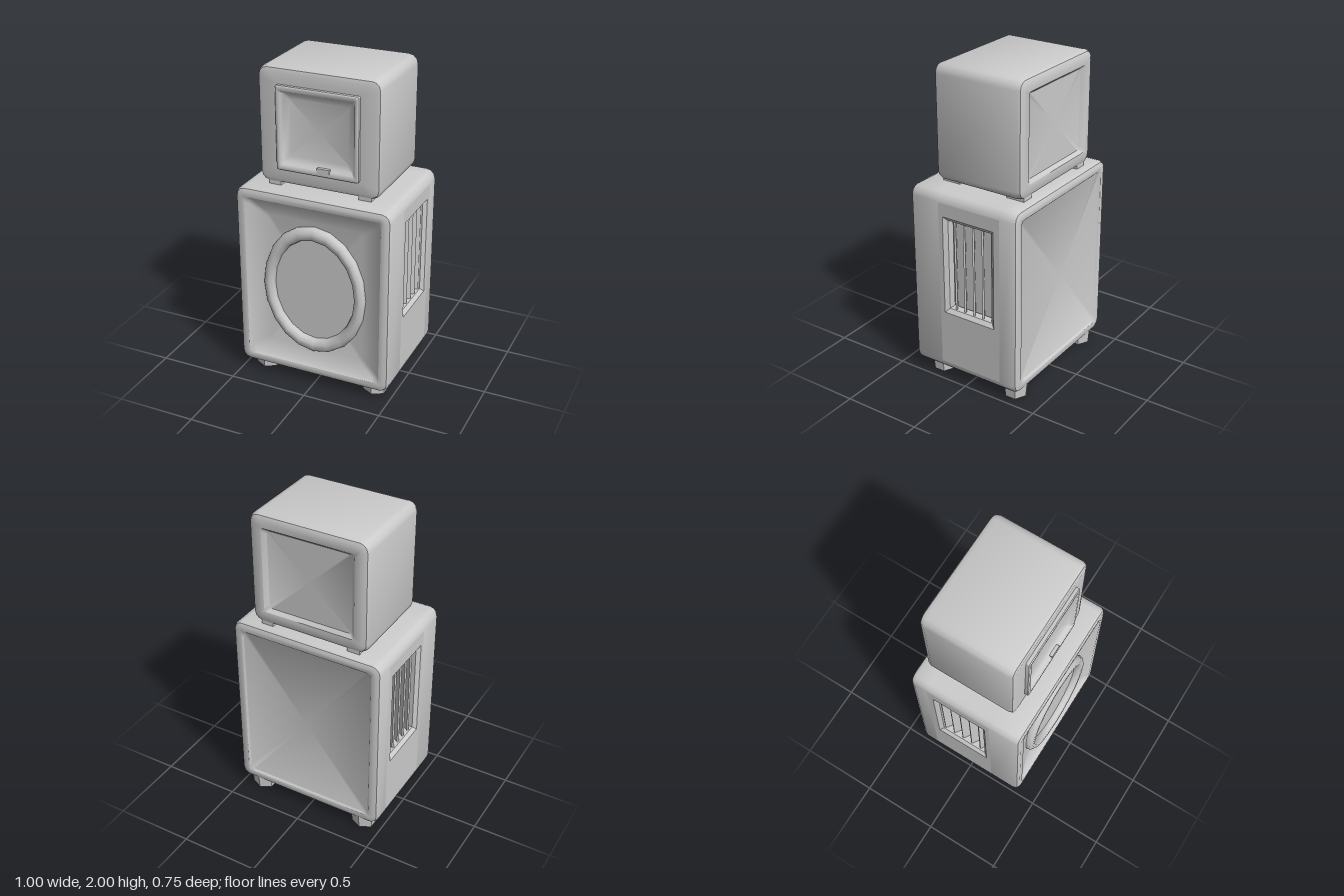
import * as THREE from 'three';
import { toCreasedNormals } from 'three/addons/utils/BufferGeometryUtils.js';

const material = new THREE.MeshStandardMaterial({ color: 0xcccccc });

function addMesh(parent, name, geometry, x = 0, y = 0, z = 0) {
  const mesh = new THREE.Mesh(geometry, material);
  mesh.name = name;
  mesh.position.set(x, y, z);
  parent.add(mesh);
  return mesh;
}

// Rounded rectangle ring: four points per corner, starting at the lower +x corner
function ringPoints([z, w, h, r]) {
  const points = [];
  [[1, -1], [1, 1], [-1, 1], [-1, -1]].forEach(([sx, sy], corner) => {
    for (let i = 0; i < 4; i++) {
      const a = (corner - 1 + i / 3) * Math.PI / 2;
      points.push([sx * (w - r) + r * Math.cos(a), sy * (h - r) + r * Math.sin(a), z]);
    }
  });
  return points;
}

// Skin over rings [z, halfWidth, halfHeight, cornerRadius], from front floor to back floor.
// The flat sides of the strip after ring openStrip are left out.
function loft(rings, openStrip = -1) {
  const pos = [];
  const loops = rings.map(ringPoints);
  const n = 16;
  const last = loops.length - 1;
  const first = [0, 0, rings[0][0]];
  const end = [0, 0, rings[last][0]];
  for (let j = 0; j < n; j++) {
    const k = (j + 1) % n;
    pos.push(...first, ...loops[0][j], ...loops[0][k]);
    pos.push(...end, ...loops[last][k], ...loops[last][j]);
    for (let i = 0; i < last; i++) {
      if (i === openStrip && (j === 3 || j === 11)) continue;
      const a = loops[i][j], b = loops[i][k], c = loops[i + 1][k], d = loops[i + 1][j];
      pos.push(...a, ...d, ...c, ...a, ...c, ...b);
    }
  }
  const geometry = new THREE.BufferGeometry();
  geometry.setAttribute('position', new THREE.Float32BufferAttribute(pos, 3));
  return toCreasedNormals(geometry, 0.7);
}

// Side wall with a louvred window whose edges slope inwards, built for +x
function sideVent() {
  const group = new THREE.Group();
  const shape = new THREE.Shape();
  shape.moveTo(-0.17, 0.13).lineTo(0.26, 0.13).lineTo(0.26, 1.21).lineTo(-0.17, 1.21).closePath();
  const hole = new THREE.Path();
  hole.moveTo(-0.14, 0.485).lineTo(-0.14, 1.125).lineTo(0.22, 1.125).lineTo(0.22, 0.485).closePath();
  shape.holes.push(hole);
  const wall = new THREE.ExtrudeGeometry(shape, {
    depth: 0.05, bevelEnabled: true, bevelSize: 0.025, bevelThickness: 0.02, bevelSegments: 1,
  });
  wall.rotateY(Math.PI / 2);
  addMesh(group, 'sideWall', wall, 0.43, 0, 0);
  addMesh(group, 'ventBack', new THREE.BoxGeometry(0.02, 0.64, 0.36), 0.4, 0.805, -0.04);
  for (let i = 0; i < 5; i++) {
    const slat = addMesh(group, 'ventSlat', new THREE.BoxGeometry(0.06, 0.6, 0.012), 0.445, 0.805, 0.09 - i * 0.066);
    slat.rotation.y = 0.6;
  }
  return group;
}

export function createModel() {
  const model = new THREE.Group();
  model.name = 'stackedSpeaker';

  // Lower cabinet with a dished front and a shallow back panel
  addMesh(model, 'lowerCabinet', loft([
    [0.325, 0.31, 0.43, 0.02],
    [0.355, 0.42, 0.52, 0.03],
    [0.375, 0.44, 0.54, 0.03],
    [0.375, 0.47, 0.57, 0.04],
    [0.366, 0.49, 0.59, 0.05],
    [0.345, 0.5, 0.6, 0.06],
    [0.17, 0.5, 0.6, 0.06],
    [-0.26, 0.5, 0.6, 0.06],
    [-0.345, 0.5, 0.6, 0.06],
    [-0.366, 0.49, 0.59, 0.05],
    [-0.375, 0.47, 0.57, 0.04],
    [-0.375, 0.44, 0.54, 0.03],
    [-0.365, 0.43, 0.53, 0.03],
  ], 6), 0, 0.67, 0);

  // Side vents
  for (const side of [1, -1]) {
    const vent = sideVent();
    vent.name = side > 0 ? 'leftVent' : 'rightVent';
    vent.scale.x = side;
    model.add(vent);
  }

  // Oval speaker ring and cone
  const oval = new THREE.TorusGeometry(1, 0.12, 10, 20);
  oval.scale(0.3, 0.38, 0.33);
  addMesh(model, 'speakerRing', oval, 0, 0.655, 0.333);
  const cone = addMesh(model, 'speakerCone', new THREE.CircleGeometry(1, 20), 0, 0.655, 0.33);
  cone.scale.set(0.29, 0.375, 1);

  // Upper cabinet: framed screen in front, shallow panel behind
  addMesh(model, 'upperCabinet', loft([
    [0.25, 0.18, 0.175, 0.01],
    [0.265, 0.22, 0.21, 0.01],
    [0.282, 0.23, 0.222, 0.01],
    [0.29, 0.24, 0.235, 0.01],
    [0.29, 0.255, 0.252, 0.01],
    [0.285, 0.26, 0.2575, 0.01],
    [0.265, 0.26, 0.2575, 0.01],
    [0.265, 0.35, 0.325, 0.04],
    [0.257, 0.375, 0.348, 0.05],
    [0.235, 0.385, 0.3575, 0.06],
    [-0.29, 0.385, 0.3575, 0.06],
    [-0.317, 0.373, 0.347, 0.05],
    [-0.328, 0.35, 0.325, 0.04],
    [-0.328, 0.3, 0.275, 0.02],
    [-0.305, 0.275, 0.255, 0.02],
  ]), 0, 1.6425, 0);
  addMesh(model, 'frameTab', new THREE.BoxGeometry(0.08, 0.04, 0.02), 0.04, 1.415, 0.28);

  // Feet under both cabinets
  for (const x of [-1, 1]) {
    for (const z of [0.245, -0.297]) {
      const foot = new THREE.CylinderGeometry(0.082, 0.072, 0.12, 6).toNonIndexed();
      foot.scale(1.1, 1, 0.95);
      foot.computeVertexNormals();
      addMesh(model, 'lowerFoot', foot, x * 0.372, 0.06, z);
    }
    for (const z of [0.195, -0.255]) {
      addMesh(model, 'upperFoot', new THREE.BoxGeometry(0.08, 0.06, 0.12), x * 0.29, 1.28, z);
    }
  }
  return model;
}
